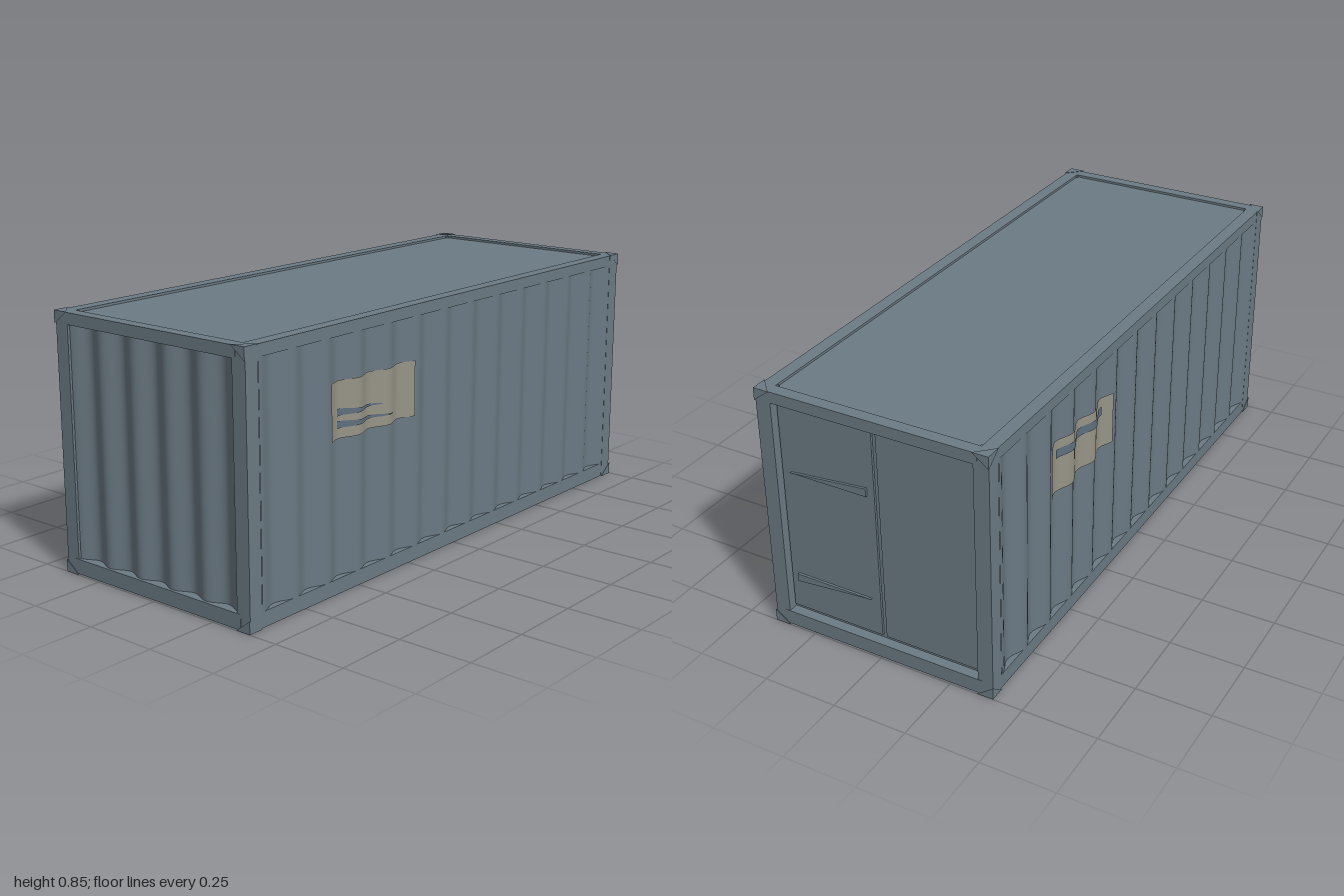
import * as THREE from 'three';

const paint = new THREE.MeshStandardMaterial({ color: 0x6b7a84, side: THREE.DoubleSide });
paint.name = 'greyBluePaint';
const beige = new THREE.MeshStandardMaterial({ color: 0x979487, side: THREE.DoubleSide });
beige.name = 'beigeSign';
const slate = new THREE.MeshStandardMaterial({ color: 0x5f7080, side: THREE.DoubleSide });
slate.name = 'slateStripe';

const PITCH = 0.145;      // corrugation spacing
const HALF = PITCH * 6.5; // half length of the long wall

function add(parent, name, geometry, material = paint) {
  const mesh = new THREE.Mesh(geometry, material);
  mesh.name = name;
  parent.add(mesh);
  return mesh;
}

// Box given by its two extreme corners
function box(parent, name, [x0, y0, z0], [x1, y1, z1], material) {
  const mesh = add(parent, name, new THREE.BoxGeometry(x1 - x0, y1 - y0, z1 - z0), material);
  mesh.position.set((x0 + x1) / 2, (y0 + y1) / 2, (z0 + z1) / 2);
  return mesh;
}

// Sheet that follows the corrugation; half is the half width of the wall it lies on.
// leftEnd and rightEnd give [bottom, top] at each side, so stripes can taper.
function waveSheet(x0, x1, leftEnd, rightEnd, half, pitch, depth, amp) {
  const segments = Math.max(8, Math.round((x1 - x0) / pitch * 16));
  const geometry = new THREE.PlaneGeometry(1, 1, segments, 1);
  const p = geometry.attributes.position;
  for (let i = 0; i < p.count; i++) {
    const t = p.getX(i) + 0.5, v = p.getY(i) + 0.5;
    const x = x0 + (x1 - x0) * t;
    const low = THREE.MathUtils.lerp(leftEnd[0], rightEnd[0], t);
    const high = THREE.MathUtils.lerp(leftEnd[1], rightEnd[1], t);
    p.setXYZ(i, x, low + (high - low) * v, depth + amp * Math.cos((x + half) / pitch * Math.PI * 2));
  }
  geometry.computeVertexNormals();
  return geometry;
}

// Pointed corner fitting: outer corner plus one point along each edge
function cornerGeometry(sx, sy, sz) {
  const y = sy > 0 ? 0.85 : 0;
  const v = [sx, y, sz * 0.4];
  const a = [sx * 0.945, y, sz * 0.4];
  const b = [sx, y - sy * 0.042, sz * 0.4];
  const c = [sx, y, sz * 0.345];
  const faces = [[v, a, b], [v, b, c], [v, c, a], [a, c, b]];
  const flip = sx * sy * sz < 0;
  const points = faces.flatMap(f => (flip ? [f[0], f[2], f[1]] : f)).flat();
  const geometry = new THREE.BufferGeometry();
  geometry.setAttribute('position', new THREE.Float32BufferAttribute(points, 3));
  geometry.computeVertexNormals();
  return geometry;
}

// Long wall with its sign and stripes, facing +z
function longWall(name, stripes) {
  const wall = new THREE.Group();
  wall.name = name;
  const sheet = (x0, x1, l, r, lift) => waveSheet(x0, x1, l, r, HALF, PITCH, 0.387 + lift, 0.011);
  add(wall, 'corrugatedPanel', sheet(-HALF, HALF, [0.04, 0.82], [0.04, 0.82], 0));
  add(wall, 'sign', sheet(-0.63, -0.23, [0.49, 0.67], [0.49, 0.67], 0.004), beige);
  for (const [x0, x1, l, r] of stripes) add(wall, 'signStripe', sheet(x0, x1, l, r, 0.007), slate);
  return wall;
}

export function createModel() {
  const model = new THREE.Group();
  model.name = 'cargoContainer';

  // Frame: posts, long rails, end beams and corner fittings
  const frame = new THREE.Group();
  frame.name = 'frame';
  model.add(frame);
  for (const s of [-1, 1]) {
    const span = (outer, inner) => (s > 0 ? [inner, outer] : [-outer, -inner]);
    const [z0, z1] = span(0.397, 0.352);
    const [x0, x1] = span(0.996, 0.955);
    box(frame, 'bottomRail', [-0.99, 0.002, z0], [0.99, 0.052, z1]);
    box(frame, 'topRail', [-0.99, 0.81, z0], [0.99, 0.848, z1]);
    box(frame, 'bottomBeam', [x0, 0.002, -0.36], [x1, 0.052, 0.36]);
    box(frame, 'topBeam', [x0, 0.81, -0.36], [x1, 0.848, 0.36]);
    for (const t of [-1, 1]) {
      const px = s > 0 ? [0.944, 0.995] : [-0.995, -0.944];
      const pz = t > 0 ? [0.346, 0.398] : [-0.398, -0.346];
      box(frame, 'cornerPost', [px[0], 0.004, pz[0]], [px[1], 0.846, pz[1]]);
      for (const u of [-1, 1]) add(frame, 'cornerFitting', cornerGeometry(s, u, t));
    }
  }

  // Roof sheet, set just below the rails
  box(model, 'roof', [-0.96, 0.83, -0.36], [0.96, 0.84, 0.36]);

  // Long walls
  model.add(longWall('frontWall', [
    [-0.59, -0.39, [0.562, 0.585], [0.562, 0.565]],
    [-0.59, -0.34, [0.523, 0.546], [0.523, 0.526]],
  ]));
  const back = longWall('backWall', [[-0.58, -0.28, [0.61, 0.64], [0.61, 0.64]]]);
  back.rotation.y = Math.PI;
  model.add(back);

  // Corrugated end wall
  const end = add(model, 'endWall',
    waveSheet(-0.35, 0.35, [0.04, 0.82], [0.04, 0.82], 0.35, 0.14, 0.975, 0.012));
  end.rotation.y = -Math.PI / 2;

  // Door end: backing sheet, two doors and their tapered handles
  const doors = new THREE.Group();
  doors.name = 'doors';
  model.add(doors);
  box(doors, 'doorBacking', [0.95, 0.04, -0.35], [0.962, 0.82, 0.35]);
  box(doors, 'frontDoor', [0.955, 0.065, 0.01], [0.97, 0.8, 0.342]);
  box(doors, 'backDoor', [0.955, 0.065, -0.342], [0.97, 0.8, -0.005]);
  const handles = [
    [[-0.31, 0.57], [-0.035, 0.57], [-0.035, 0.598]],
    [[-0.315, 0.168], [-0.04, 0.195], [-0.315, 0.195]],
  ];
  for (const corners of handles) {
    const shape = new THREE.Shape(corners.map(([x, y]) => new THREE.Vector2(x, y)));
    const handle = add(doors, 'doorHandle',
      new THREE.ExtrudeGeometry(shape, { depth: 0.009, bevelEnabled: false }));
    handle.rotation.y = Math.PI / 2;
    handle.position.x = 0.969;
  }
  return model;
}
